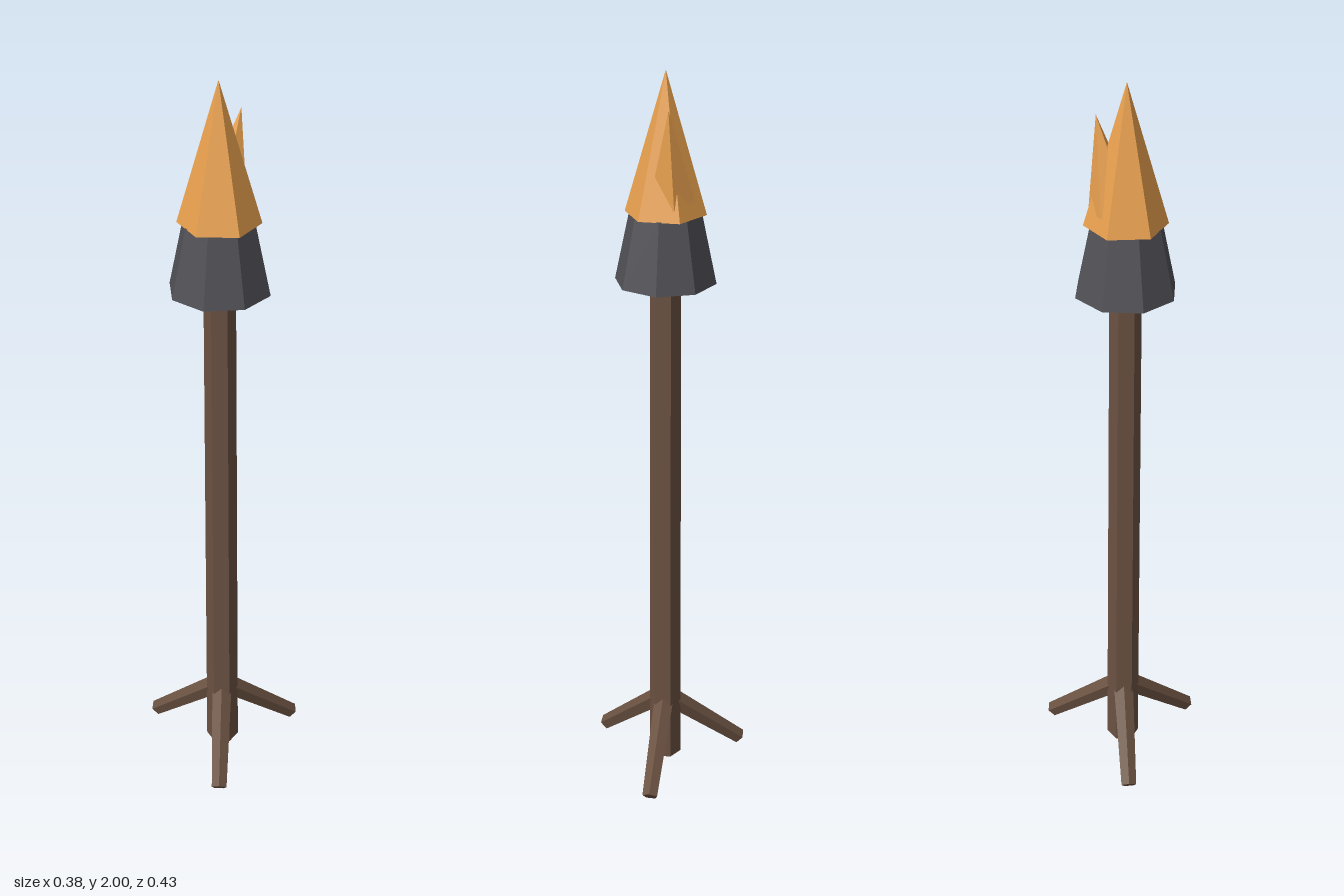
import * as THREE from 'three';

const AXIS_X = -0.056; // the pole stands off-centre so the three feet balance the bounds

function material(color) {
  return new THREE.MeshStandardMaterial({ color, flatShading: true });
}

function addMesh(parent, name, geometry, mat) {
  const mesh = new THREE.Mesh(geometry, mat);
  mesh.name = name;
  parent.add(mesh);
  return mesh;
}

// Upright tapered prism between two heights
function prism(rTop, rBottom, y0, y1, sides) {
  return new THREE.CylinderGeometry(rTop, rBottom, y1 - y0, sides).translate(0, (y0 + y1) / 2, 0);
}

export function createModel() {
  const model = new THREE.Group();
  model.name = 'standingTorch';
  const torch = new THREE.Group();
  torch.name = 'torch';
  torch.position.x = AXIS_X;
  model.add(torch);

  const wood = material(0x6b5242);
  const iron = material(0x505056);
  const fire = material(0xe8a04e);

  // Pole and fire holder
  addMesh(torch, 'pole', prism(0.041, 0.045, 0.02, 1.47, 6), wood);
  addMesh(torch, 'fireHolder', prism(0.094, 0.133, 1.457, 1.64, 8), iron);

  // Main flame
  addMesh(torch, 'mainFlame', new THREE.ConeGeometry(0.106, 0.362, 6).translate(0, 1.819, 0), fire);

  // Small leaning flame, placed by its tip
  const smallHeight = 0.24;
  const small = new THREE.ConeGeometry(0.062, smallHeight, 5)
    .translate(0, -smallHeight / 2, 0)
    .rotateY(THREE.MathUtils.degToRad(34))
    .rotateZ(-0.19)
    .translate(0.072, 1.915, -0.02);
  addMesh(torch, 'smallFlame', small, fire);

  // Three splayed feet, each with a ridge on top
  const inner = new THREE.Vector2(0.01, 0.2);
  const outer = new THREE.Vector2(0.231, 0.014);
  const run = outer.x - inner.x;
  const rise = inner.y - outer.y;
  const footGeometry = new THREE.CylinderGeometry(0.029, 0.022, Math.hypot(run, rise), 5)
    .rotateY(Math.PI / 2)
    .rotateZ(Math.atan2(run, rise))
    .translate((inner.x + outer.x) / 2, (inner.y + outer.y) / 2, 0);
  for (let i = 0; i < 3; i++) {
    addMesh(torch, 'foot' + (i + 1), footGeometry, wood).rotation.y = (i * Math.PI * 2) / 3;
  }

  return model;
}
